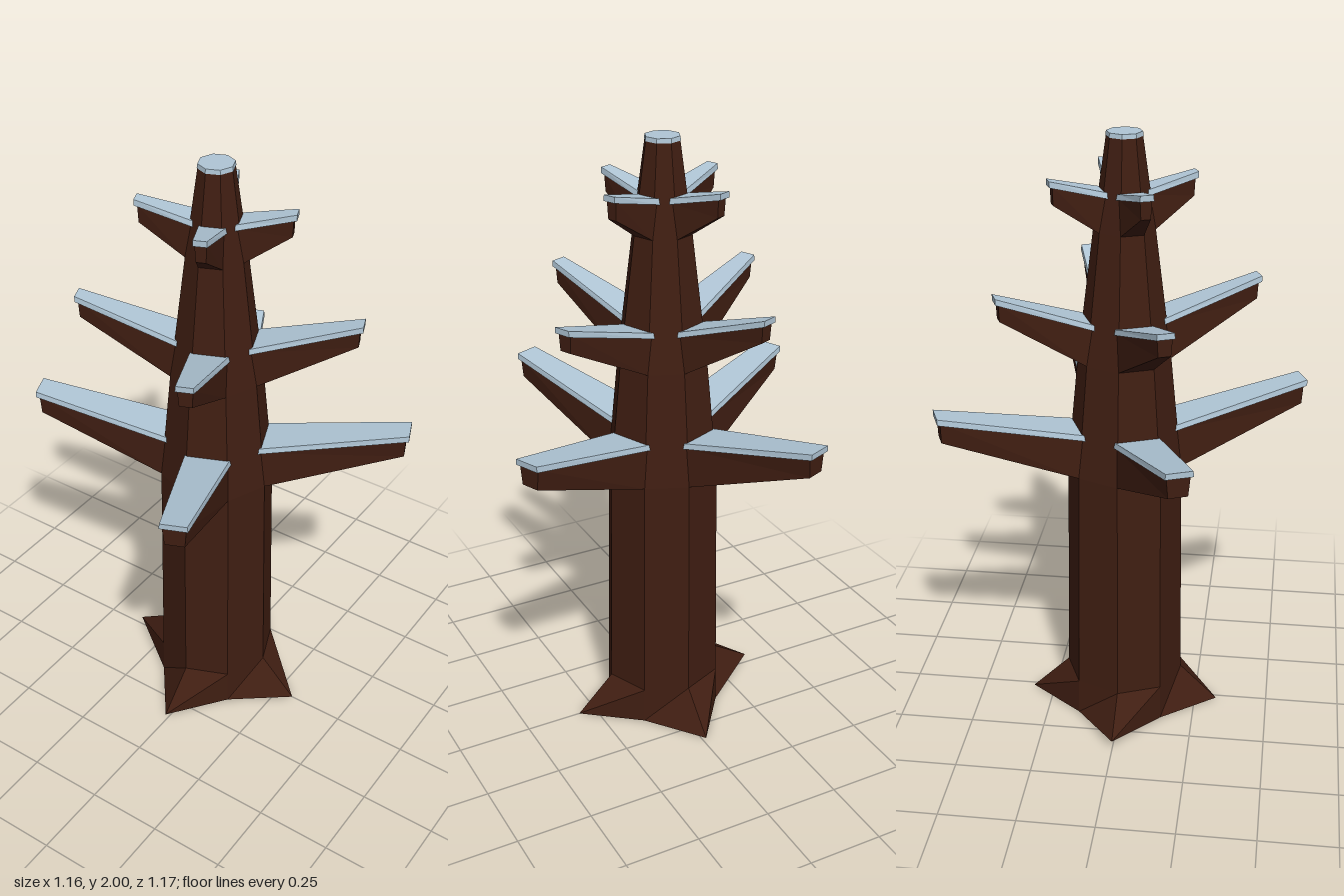
import * as THREE from 'three';

const bark = new THREE.MeshStandardMaterial({ color: 0x401e12, flatShading: true });
const snow = new THREE.MeshStandardMaterial({ color: 0xb0c6d6, flatShading: true });

// Joins cross-sections (counterclockwise seen from the far end) and caps both ends
function loft(sections) {
  const pos = [];
  const tri = (a, b, c) => pos.push(...a, ...b, ...c);
  const n = sections[0].length;
  const cap = (s, flip) => {
    const mid = [0, 1, 2].map(k => s.reduce((sum, p) => sum + p[k], 0) / n);
    for (let i = 0; i < n; i++) {
      const p = s[i], q = s[(i + 1) % n];
      flip ? tri(mid, q, p) : tri(mid, p, q);
    }
  };
  for (let j = 0; j + 1 < sections.length; j++) {
    const a = sections[j], b = sections[j + 1];
    for (let i = 0; i < n; i++) {
      const k = (i + 1) % n;
      tri(a[i], a[k], b[k]);
      tri(a[i], b[k], b[i]);
    }
  }
  cap(sections[0], true);
  cap(sections[sections.length - 1], false);
  const g = new THREE.BufferGeometry();
  g.setAttribute('position', new THREE.Float32BufferAttribute(pos, 3));
  g.computeVertexNormals();
  return g;
}

function add(parent, name, geometry, material) {
  const mesh = new THREE.Mesh(geometry, material);
  mesh.name = name;
  parent.add(mesh);
}

// Octagonal ring around the trunk axis
const ring = (y, radius) => Array.from({ length: 8 }, (_, i) => {
  const a = i * Math.PI / 4;
  const r = typeof radius === 'function' ? radius(i) : radius;
  return [r * Math.cos(a), y, -r * Math.sin(a)];
});

// Four-cornered section of a branch pointing along +x
const quad = (xLow, yLow, wLow, xHigh, yHigh, wHigh) => [
  [xLow, yLow, wLow / 2], [xLow, yLow, -wLow / 2],
  [xHigh, yHigh, -wHigh / 2], [xHigh, yHigh, wHigh / 2],
];

// Tiers: trunk radius and heights at the base, then tip heights, tip width, four lengths
const tiers = [
  { name: 'lower', r: 0.187, rTop: 0.15, y0: 0.9, y1: 1.03, t0: 1.06, t1: 1.13, w: 0.088, lengths: [0.624, 0.615, 0.596, 0.615] },
  { name: 'middle', r: 0.15, rTop: 0.134, y0: 1.28, y1: 1.4, t0: 1.44, t1: 1.5, w: 0.056, lengths: [0.456, 0.415, 0.447, 0.447] },
  { name: 'upper', r: 0.097, rTop: 0.08, y0: 1.7, y1: 1.81, t0: 1.79, t1: 1.85, w: 0.043, lengths: [0.242, 0.238, 0.246, 0.23] },
];

export function createModel() {
  const tree = new THREE.Group();
  tree.name = 'tree';
  const body = new THREE.Group();
  body.name = 'treeBody';
  body.position.x = -0.015;
  tree.add(body);

  // Trunk with four pointed roots, the left-hand one in front view slightly lifted
  const foot = ring(0, i => (i % 2 ? 0.2 : i === 4 ? 0.345 : 0.325));
  foot[4][1] = 0.035;
  add(body, 'trunk', loft([
    foot, ring(0.125, 0.198), ring(0.9, 0.187), ring(1.28, 0.15), ring(1.7, 0.097), ring(1.988, 0.056),
  ]), bark);
  add(body, 'trunkSnowCap', loft([ring(1.986, 0.058), ring(2, 0.056)]), snow);

  // Three tiers of four branches growing out of the trunk faces
  const half = Math.PI / 8;
  for (const t of tiers) {
    const base = t.r * Math.cos(half);
    const baseTop = t.rTop * Math.cos(half) - 0.01;
    const width = 2 * t.r * Math.sin(half);
    t.lengths.forEach((len, i) => {
      const branch = new THREE.Group();
      branch.name = `${t.name}Branch${i + 1}`;
      branch.rotation.y = half + i * Math.PI / 2;
      add(branch, 'branchWood', loft([
        quad(base, t.y0, width, baseTop, t.y1, width),
        quad(len - 0.012, t.t0, t.w * 0.7, len - 0.01, t.t1, t.w * 0.85),
      ]), bark);
      // Snow slab overhanging the branch top
      add(branch, 'branchSnow', loft([
        quad(baseTop, t.y1 - 0.003, width + 0.014, baseTop, t.y1 + 0.015, width + 0.006),
        quad(len, t.t1 - 0.003, t.w, len, t.t1 + 0.016, t.w * 0.95),
      ]), snow);
      body.add(branch);
    });
  }
  return tree;
}
